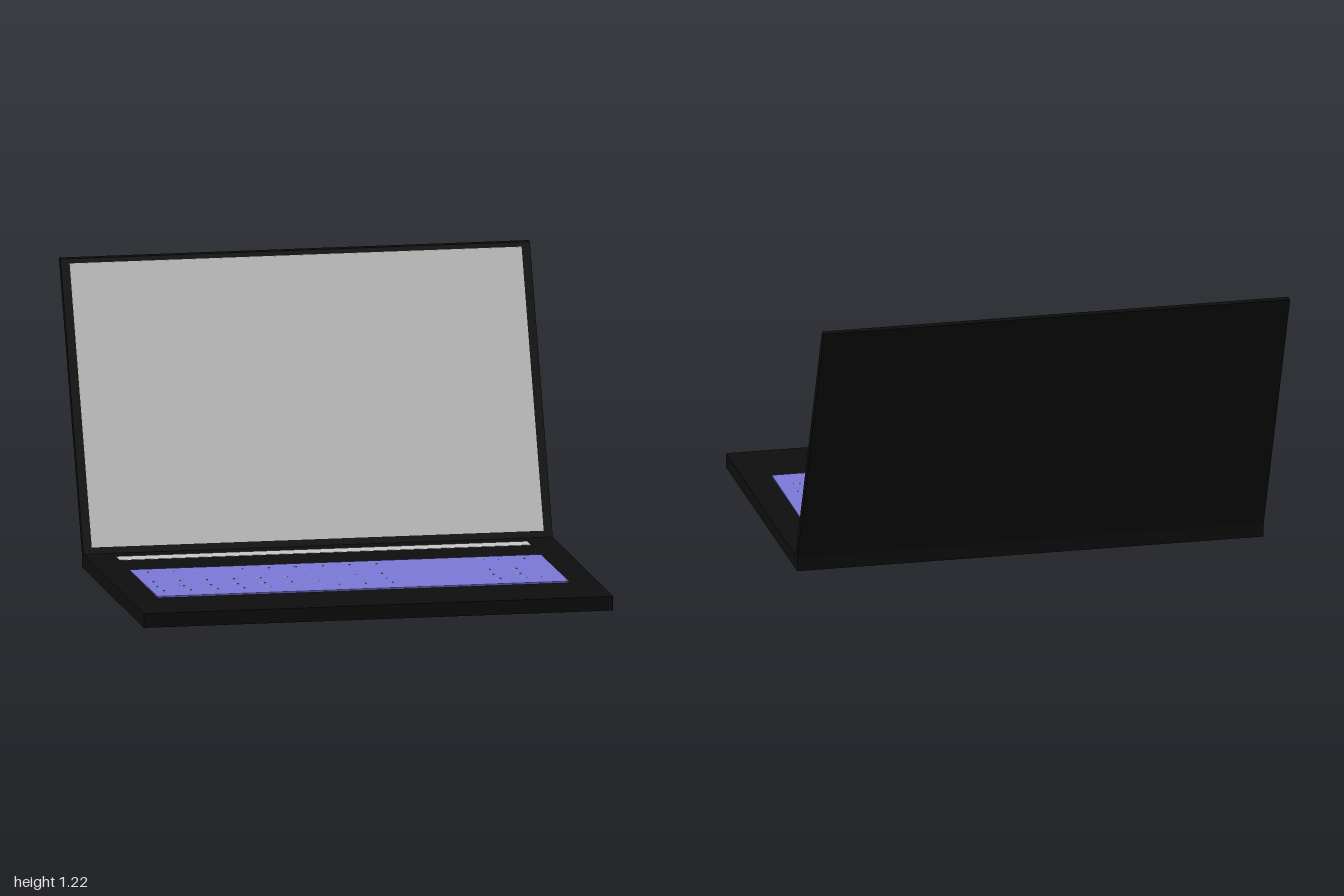
import * as THREE from 'three';

const mat = (name, color) => {
  const m = new THREE.MeshStandardMaterial({ color });
  m.name = name;
  return m;
};

export function createModel() {
  const group = new THREE.Group();
  group.name = 'laptop';
  const black = mat('black casing', 0x0e0e0e);
  const grey = mat('light grey', 0xc8c8c8);
  const violet = mat('violet keys', 0x7c79d9);
  const green = mat('green key gaps', 0x6fae8e);

  // Box given by its limits, with an optional rule that moves its vertices
  const addBox = (name, material, [x0, x1], [y0, y1], [z0, z1], rule) => {
    const geo = new THREE.BoxGeometry(x1 - x0, y1 - y0, z1 - z0);
    geo.translate((x0 + x1) / 2, (y0 + y1) / 2, (z0 + z1) / 2);
    if (rule) {
      const p = geo.attributes.position;
      const v = new THREE.Vector3();
      for (let i = 0; i < p.count; i++) {
        rule(v.fromBufferAttribute(p, i));
        p.setXYZ(i, v.x, v.y, v.z);
      }
      geo.computeVertexNormals();
    }
    const mesh = new THREE.Mesh(geo, material);
    mesh.name = name;
    group.add(mesh);
  };

  // Lid leans back as a shear, so its top and bottom edges stay level
  const lean = (v) => { v.z -= (v.y - 0.06) * 0.434; };
  // Keyboard rises slightly towards the front
  const rise = (v) => { v.y += (v.z + 0.02) * 0.008; };

  addBox('base', black, [-1, 1], [0, 0.06], [-0.425, 0.933]);
  addBox('lid', black, [-1, 1], [0.06, 1.222], [-0.426, -0.391], lean);
  addBox('screen', grey, [-0.963, 0.963], [0.086, 1.204], [-0.393, -0.389], lean);
  addBox('speakerStrip', grey, [-0.877, 0.877], [0.058, 0.0615], [-0.315, -0.23]);
  addBox('keyboard', violet, [-0.877, 0.877], [0.055, 0.0615], [-0.02, 0.602], rise);

  // Short green dashes between the key rows: main block, then number pad
  for (const z of [0.053, 0.27, 0.385, 0.48]) {
    for (let i = 0; i < 13; i++) {
      const x = i < 10 ? -0.85 + i * 0.11 : 0.58 + (i - 10) * 0.1;
      addBox('keyGap', green, [x, x + 0.04], [0.061, 0.0618], [z - 0.002, z + 0.002], rise);
    }
  }
  return group;
}
